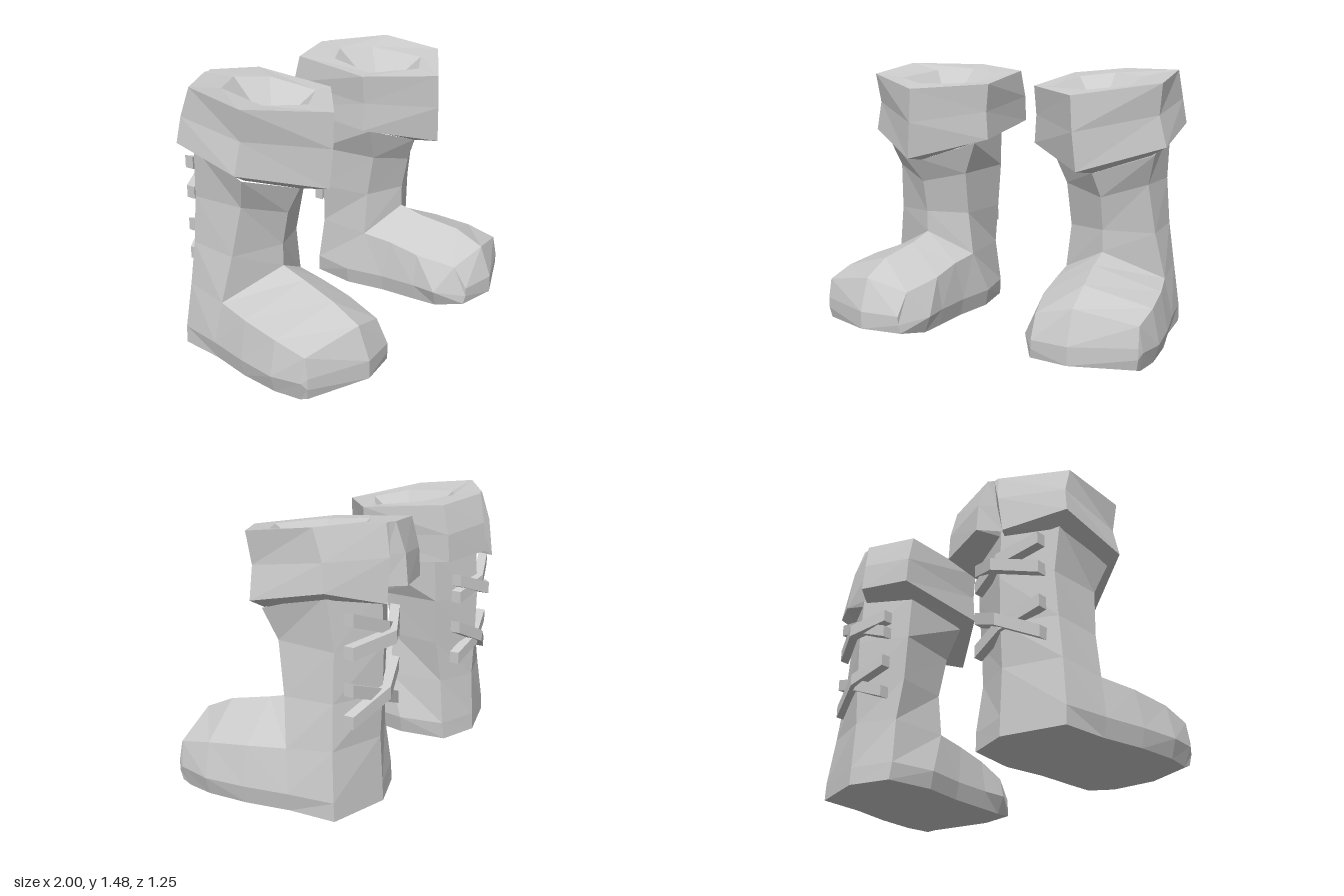
import * as THREE from 'three';

const material = new THREE.MeshStandardMaterial({ color: 0xcccccc, flatShading: true });

const centre = (ring) => [0, 1, 2].map((k) => ring.reduce((s, p) => s + p[k], 0) / ring.length);

// Skins a list of equal-length rings; start / end are optional cap centres. side = -1 mirrors in x.
function loft(name, rings, side, start, end) {
  const pos = [];
  const tri = (a, b, c) => {
    const [A, B, C] = (side > 0 ? [a, b, c] : [a, c, b]).map((p) => new THREE.Vector3(p[0] * side, p[1], p[2]));
    const area = B.clone().sub(A).cross(C.clone().sub(A)).length();
    if (area > 1e-7) for (const v of [A, B, C]) pos.push(v.x, v.y, v.z);
  };
  const n = rings[0].length;
  const last = rings[rings.length - 1];
  for (let i = 0; i < n; i++) {
    const j = (i + 1) % n;
    for (let r = 0; r + 1 < rings.length; r++) {
      tri(rings[r][i], rings[r][j], rings[r + 1][j]);
      tri(rings[r][i], rings[r + 1][j], rings[r + 1][i]);
    }
    if (start) tri(start, rings[0][j], rings[0][i]);
    if (end) tri(last[i], last[j], end);
  }
  const geometry = new THREE.BufferGeometry();
  geometry.setAttribute('position', new THREE.Float32BufferAttribute(pos, 3));
  geometry.computeVertexNormals();
  const mesh = new THREE.Mesh(geometry, material);
  mesh.name = name;
  return mesh;
}

// Shaft rings: front, outer front, outer back, back, inner back, inner front
const shaft = [
  [[.57, 0, -.2], [.9, 0, -.2], [.88, 0, -.46], [.55, 0, -.55], [.32, 0, -.47], [.28, 0, -.2]],
  [[.57, .1, -.2], [.92, .1, -.2], [.88, .1, -.455], [.55, .1, -.545], [.31, .1, -.46], [.26, .1, -.2]],
  [[.57, .485, 0], [.88, .33, -.17], [.85, .36, -.43], [.55, .36, -.53], [.33, .36, -.43], [.31, .35, -.1]],
  [[.57, .61, 0], [.83, .59, -.13], [.82, .6, -.415], [.55, .6, -.54], [.3, .6, -.41], [.34, .6, -.1]],
  [[.57, .8, .04], [.8, .87, -.08], [.8, .86, -.41], [.55, .86, -.545], [.28, .86, -.41], [.33, .85, -.05]],
  [[.54, .94, .1], [.85, 1.04, -.02], [.82, 1.15, -.38], [.55, 1.15, -.53], [.27, 1.13, -.4], [.25, 1.04, -.02]],
];

// Foot sections, heel to toe: outer sole, outer side, outer shoulder, ridge, inner shoulder, inner side, inner sole
const foot = [
  [[.9, 0, -.2], [.92, .1, -.2], [.88, .33, -.17], [.57, .485, 0], [.31, .35, -.1], [.26, .1, -.2], [.28, 0, -.2]],
  [[.95, 0, .04], [.97, .1, .04], [.93, .315, .04], [.58, .445, .15], [.33, .33, .08], [.3, .1, .04], [.32, 0, .04]],
  [[.97, 0, .27], [1, .1, .27], [.96, .29, .27], [.62, .4, .38], [.34, .29, .27], [.31, .1, .27], [.33, 0, .27]],
  [[.95, 0, .42], [.975, .11, .45], [.955, .25, .46], [.63, .32, .55], [.4, .25, .5], [.3, .1, .42], [.34, 0, .41]],
  [[.95, .02, .47], [.96, .08, .48], [.96, .14, .48], [.63, .14, .62], [.41, .13, .58], [.41, .08, .58], [.4, .03, .57]],
];

// Cuff rings, underside to opening, with a split between the two back flaps
const cuff = [
  [[.54, .94, .1], [.83, 1.04, -.02], [.8, 1.12, -.38], [.55, 1.12, -.5], [.55, 1.12, -.5], [.55, 1.12, -.5], [.28, 1.1, -.4], [.26, 1.04, -.02]],
  [[.52, .97, .28], [.92, 1.09, 0], [.9, 1.18, -.42], [.62, 1.09, -.6], [.55, 1.15, -.52], [.46, 1.15, -.625], [.17, 1.13, -.54], [.15, 1.07, 0]],
  [[.5, 1.18, .29], [.88, 1.26, .01], [.88, 1.32, -.4], [.58, 1.31, -.59], [.53, 1.31, -.54], [.46, 1.31, -.61], [.17, 1.28, -.53], [.16, 1.23, 0]],
  [[.49, 1.37, .29], [.9, 1.43, .03], [.87, 1.48, -.34], [.55, 1.47, -.55], [.52, 1.47, -.55], [.49, 1.47, -.57], [.18, 1.44, -.49], [.145, 1.39, 0]],
  [[.51, 1.39, .14], [.72, 1.41, .02], [.67, 1.44, -.31], [.47, 1.45, -.41], [.47, 1.45, -.41], [.47, 1.45, -.41], [.29, 1.43, -.31], [.25, 1.39, -.02]],
];

// Laces: height at the outer end, middle and inner end, and depth at the middle
const laces = [[1.03, .95, .88, -.55], [.86, .91, .98, -.59], [.67, .59, .51, -.53], [.5, .61, .7, -.56]];

function lace([y0, y1, y2, zMid], side) {
  const path = [[.77, y0, -.475], [.55, y1, zMid], [.36, y2, -.5]];
  const rings = path.map(([x, y, z]) =>
    [[1, -1], [1, 1], [-1, 1], [-1, -1]].map(([a, b]) => [x, y + b * .034, z + a * .028]));
  return loft('lace', rings, side, centre(rings[0]), centre(rings[2]));
}

function boot(name, side) {
  const group = new THREE.Group();
  group.name = name;
  group.add(
    loft('shaft', shaft, side, centre(shaft[0])),
    loft('foot', foot, side, null, [.63, .04, .62]),
    loft('cuff', cuff, side, null, [.49, 1.2, -.13]),
    ...laces.map((l) => lace(l, side)),
  );
  return group;
}

export function createModel() {
  const model = new THREE.Group();
  model.name = 'boots';
  model.add(boot('leftBoot', 1), boot('rightBoot', -1));
  return model;
}
